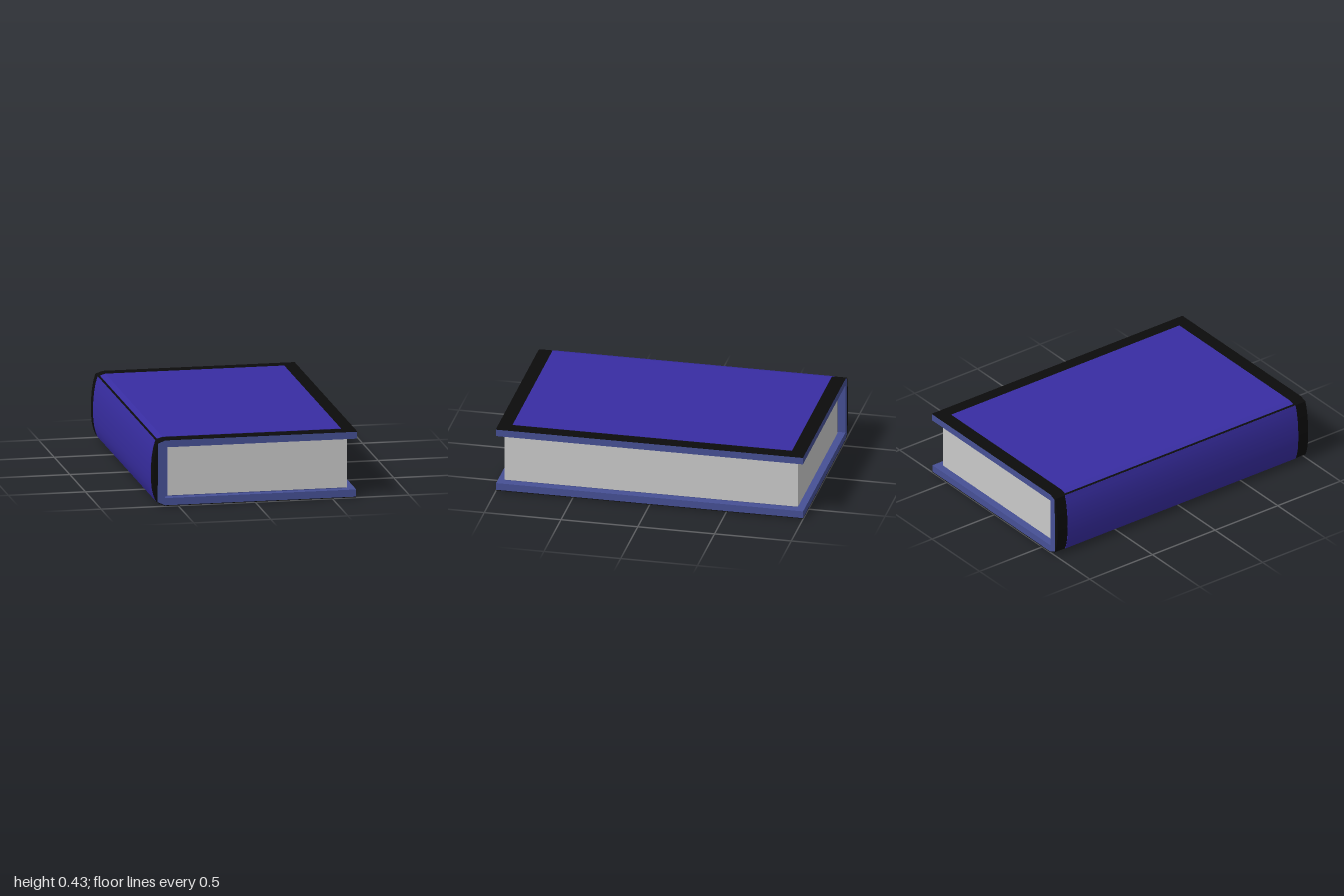
import * as THREE from 'three';
import { toCreasedNormals } from 'three/addons/utils/BufferGeometryUtils.js';

const mat = (name, color) => {
  const m = new THREE.MeshStandardMaterial({ color });
  m.name = name;
  return m;
};

// Extrude an x/y outline along z, centred on z = 0
function extrude(name, points, halfDepth, material) {
  const shape = new THREE.Shape(points.map(([x, y]) => new THREE.Vector2(x, y)));
  const geo = new THREE.ExtrudeGeometry(shape, { depth: halfDepth * 2, bevelEnabled: false });
  geo.translate(0, 0, -halfDepth);
  const mesh = new THREE.Mesh(toCreasedNormals(geo, 0.3), material);
  mesh.name = name;
  return mesh;
}

// Thin ribbon lying on the outside of an open path
function ribbon(name, path, thickness, halfDepth, material) {
  const outer = path.map(([x, y], i) => {
    const a = path[Math.max(i - 1, 0)], b = path[Math.min(i + 1, path.length - 1)];
    const dx = b[0] - a[0], dy = b[1] - a[1], l = Math.hypot(dx, dy);
    return [x + (dy / l) * thickness, y - (dx / l) * thickness];
  });
  return extrude(name, [...path, ...outer.reverse()], halfDepth, material);
}

function box(name, x0, x1, y0, y1, halfDepth, material) {
  const mesh = new THREE.Mesh(new THREE.BoxGeometry(x1 - x0, y1 - y0, halfDepth * 2), material);
  mesh.position.set((x0 + x1) / 2, (y0 + y1) / 2, 0);
  mesh.name = name;
  return mesh;
}

export function createModel() {
  const book = new THREE.Group();
  book.name = 'book';
  const blue = mat('slate blue board', 0x465095);
  const black = mat('black binding', 0x0c0c0c);
  const purple = mat('indigo cover', 0x382da2);
  const paper = mat('grey paper', 0xc9c9c9);

  // Rounded back of the spine, from top to bottom
  const spine = [
    [-0.632, 0.416], [-0.645, 0.37], [-0.655, 0.31], [-0.66, 0.25], [-0.661, 0.2],
    [-0.66, 0.15], [-0.655, 0.1], [-0.645, 0.055], [-0.632, 0.023],
  ];
  // Outside of the boards, from top to bottom
  const boards = [
    [0.661, 0.429], [-0.585, 0.429], [-0.631, 0.41],
    [-0.633, 0.028], [-0.585, 0.006], [0.655, 0.006],
  ];

  // Boards and spine board in one U-shaped section
  book.add(extrude('coverBoards', [
    ...boards, [0.655, 0.053], [-0.585, 0.053], [-0.585, 0.384], [0.661, 0.384],
  ], 1, blue));

  // Black binding wrapped around the boards, bulging at the spine
  book.add(extrude('binding', [
    [0.661, 0.432], [-0.585, 0.432], ...spine, [-0.585, 0.002], [0.655, 0.002],
    ...[...boards].reverse(),
  ], 1, black));

  // Coloured panels inside the black border
  book.add(ribbon('topPanel', [[0.575, 0.432], [-0.585, 0.432], [-0.62, 0.421]], 0.002, 0.91, purple));
  book.add(ribbon('spinePanel', [
    ...spine, [-0.585, 0.002], [0.575, 0.002],
  ], 0.002, 0.92, purple));

  // Lining around the page block
  book.add(box('spineLining', -0.585, -0.558, 0.053, 0.384, 0.95, blue));
  book.add(box('topLining', -0.558, 0.6, 0.378, 0.384, 0.95, blue));
  book.add(box('bottomLining', -0.558, 0.6, 0.053, 0.059, 0.95, blue));

  // Page block
  book.add(box('pages', -0.558, 0.605, 0.059, 0.378, 0.955, paper));

  return book;
}
